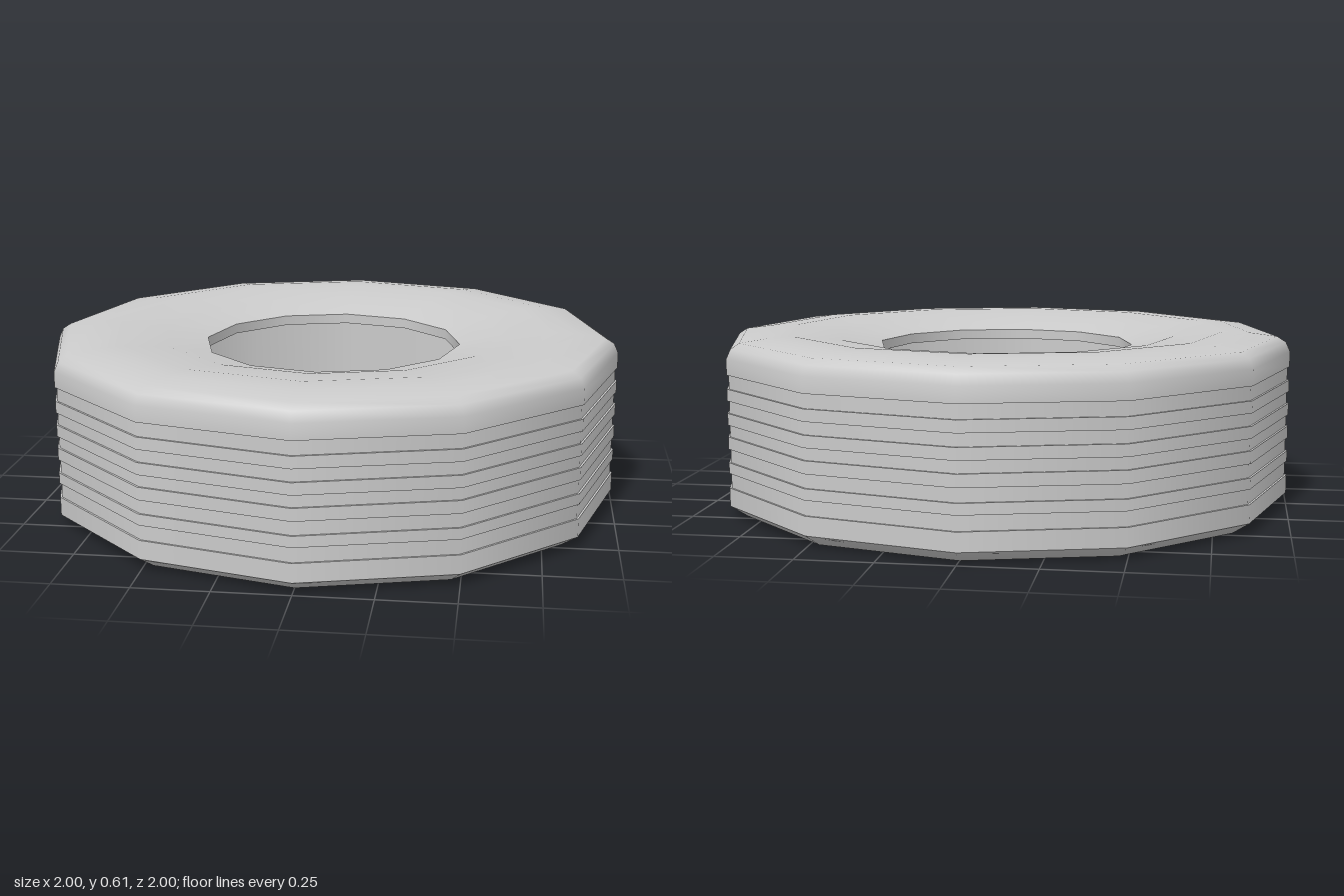
import * as THREE from 'three';
import { mergeGeometries } from 'three/addons/utils/BufferGeometryUtils.js';

const SIDES = 12;
const OUTER = 1.0;
const GROOVE = 0.993;

const material = new THREE.MeshStandardMaterial({ color: 0xcccccc });

// One smooth band turned around the axis; separate bands meet in sharp edges
const band = (points) =>
  new THREE.LatheGeometry(points.map(([r, y]) => new THREE.Vector2(r, y)), SIDES);

function part(name, bands) {
  const mesh = new THREE.Mesh(mergeGeometries(bands.map(band)), material);
  mesh.name = name;
  return mesh;
}

export function createModel() {
  const tire = new THREE.Group();
  tire.name = 'tire';

  // Tread: five shallow grooves cut around the outside
  const tread = [];
  let y = 0.04;
  for (const [low, high] of [[0.103, 0.153], [0.19, 0.236], [0.278, 0.318], [0.358, 0.4], [0.44, 0.487]]) {
    tread.push(
      [[OUTER, y], [OUTER, low]],
      [[OUTER, low], [GROOVE, low]],
      [[GROOVE, low], [GROOVE, high]],
      [[GROOVE, high], [OUTER, high]]
    );
    y = high;
  }
  tire.add(part('tread', tread));

  // Rounded shoulder running into the dished upper sidewall
  tire.add(part('upperSidewall', [[
    [OUTER, y], [OUTER, 0.54], [0.985, 0.573], [0.955, 0.592],
    [0.86, 0.604], [0.77, 0.607], [0.6, 0.588], [0.45, 0.555],
  ]]));

  // Lower sidewall with chamfered edge
  tire.add(part('lowerSidewall', [[[0.45, 0.045], [0.7, 0.018], [0.94, 0], [OUTER, 0.04]]]));

  // Lips around the two openings
  tire.add(part('upperLip', [[[0.45, 0.555], [0.45, 0.52]]]));
  tire.add(part('lowerLip', [[[0.45, 0.09], [0.45, 0.045]]]));

  // Hollow inside: ceiling, wall and floor
  tire.add(part('innerLining', [
    [[0.45, 0.52], [0.79, 0.555]],
    [[0.79, 0.555], [0.79, 0.1]],
    [[0.79, 0.1], [0.45, 0.09]],
  ]));

  return tire;
}
